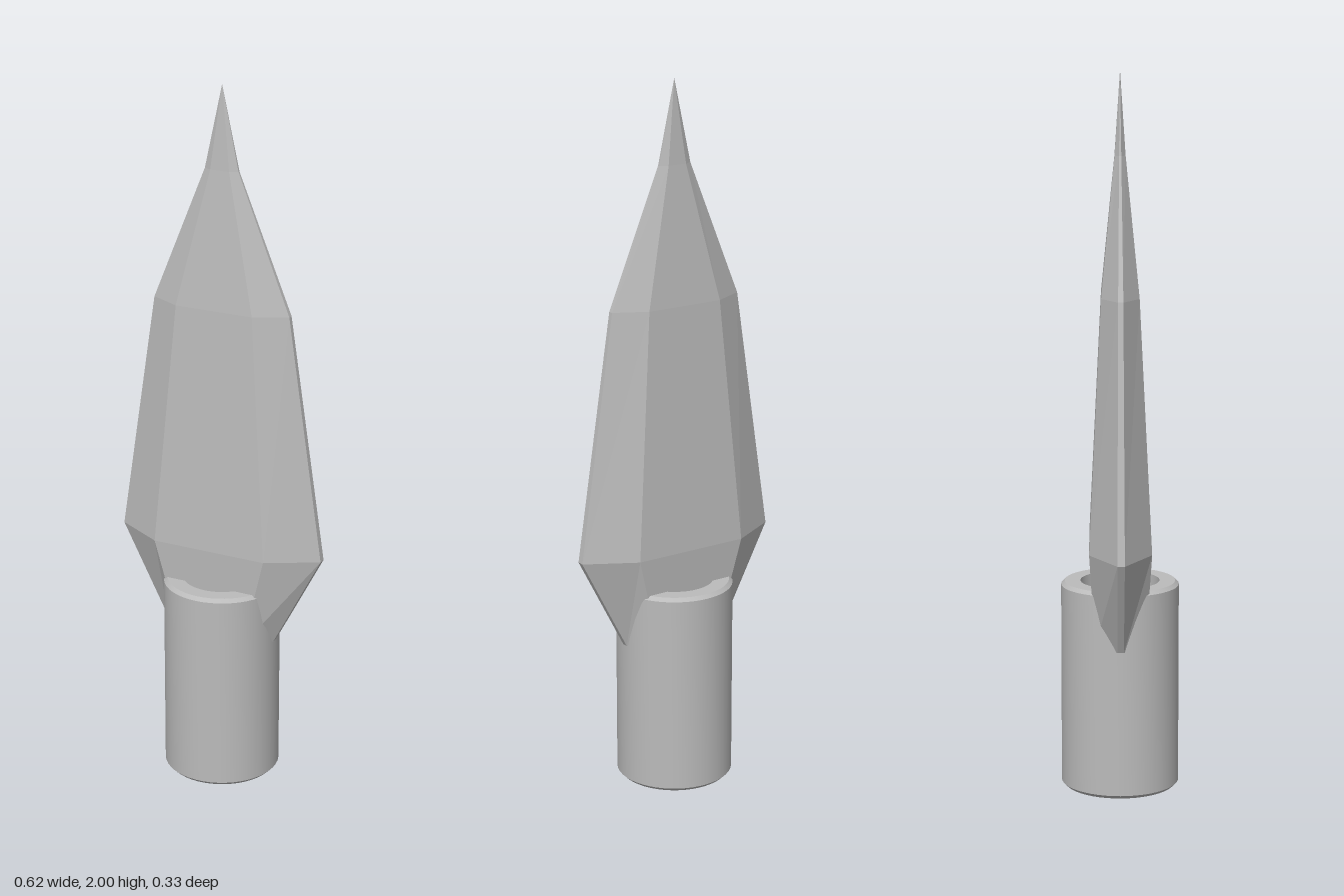
import * as THREE from 'three';
import { toCreasedNormals } from 'three/addons/utils/BufferGeometryUtils.js';

// Blade cross-section: half width, half edge thickness, half width of the flat, half thickness
function bladeRing(y, w, e, f, t) {
  return [[w, e], [w, -e], [f, -t], [-f, -t], [-w, -e], [-w, e], [-f, t], [f, t]]
    .map(([x, z]) => [x, y, z]);
}

function bladeGeometry() {
  const rings = [
    bladeRing(0.42, 0.167, 0.009, 0.1, 0.07),
    bladeRing(0.695, 0.31, 0.01, 0.17, 0.086),
    bladeRing(1.39, 0.205, 0.007, 0.115, 0.052),
    bladeRing(1.77, 0.05, 0.003, 0.028, 0.015),
  ];
  const tip = [0, 2, 0];
  const top = rings[rings.length - 1];
  const positions = [];
  const tri = (...corners) => corners.forEach((p) => positions.push(...p));

  for (let i = 0; i < 8; i++) {
    const j = (i + 1) % 8;
    // Side faces between neighbouring sections
    for (let k = 0; k < rings.length - 1; k++) {
      const lower = rings[k], upper = rings[k + 1];
      tri(lower[i], lower[j], upper[j]);
      tri(lower[i], upper[j], upper[i]);
    }
    // Point and closed underside
    tri(top[i], top[j], tip);
    tri(rings[0][j], rings[0][i], [0, 0.42, 0]);
  }
  const geometry = new THREE.BufferGeometry();
  geometry.setAttribute('position', new THREE.Float32BufferAttribute(positions, 3));
  geometry.computeVertexNormals();
  return geometry;
}

function socketGeometry() {
  // Hollow tube with small outer bevels at both ends
  const profile = [
    [0.111, 0.587], [0.111, 0], [0.155, 0], [0.165, 0.01],
    [0.165, 0.577], [0.155, 0.587], [0.111, 0.587],
  ].map(([r, y]) => new THREE.Vector2(r, y));
  return toCreasedNormals(new THREE.LatheGeometry(profile, 48), 0.5);
}

export function createModel() {
  const model = new THREE.Group();
  model.name = 'spearhead';

  const steel = new THREE.MeshStandardMaterial({ color: 0xbbbbbb });
  steel.name = 'steel grey';

  const blade = new THREE.Mesh(bladeGeometry(), steel);
  blade.name = 'blade';

  const socket = new THREE.Mesh(socketGeometry(), steel);
  socket.name = 'socket';

  model.add(blade, socket);
  return model;
}
